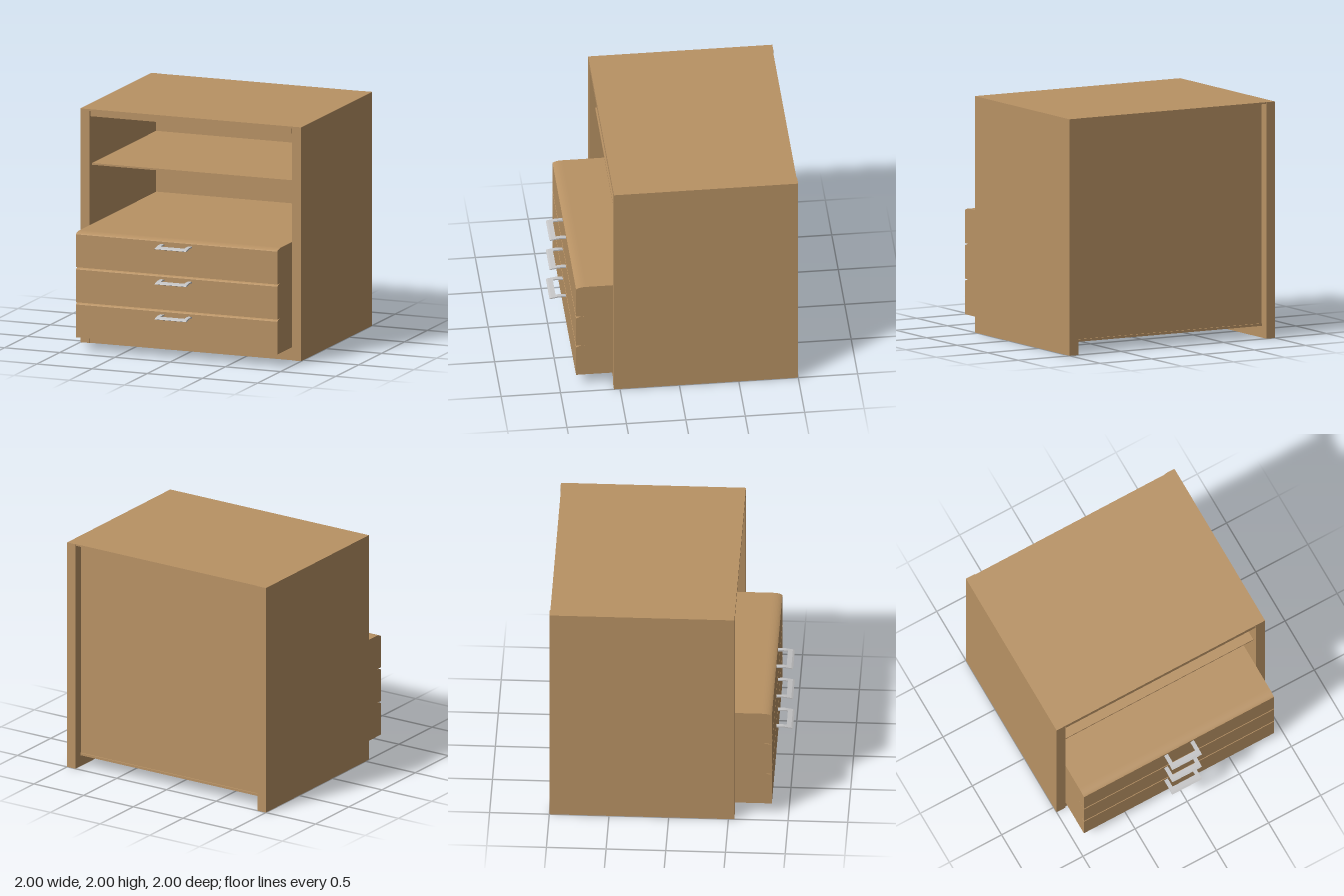
import * as THREE from 'three';

export function createModel() {
  const model = new THREE.Group();
  model.name = 'cabinet';

  const wood = new THREE.MeshStandardMaterial({ color: 0xb89264 });
  wood.name = 'wood';
  const grey = new THREE.MeshStandardMaterial({ color: 0xc4c4c5 });
  grey.name = 'light grey';

  // Box given by its lower and upper corners
  function panel(name, x0, x1, y0, y1, z0, z1, material = wood, parent = model) {
    const geometry = new THREE.BoxGeometry(x1 - x0, y1 - y0, z1 - z0);
    geometry.translate((x0 + x1) / 2, (y0 + y1) / 2, (z0 + z1) / 2);
    const mesh = new THREE.Mesh(geometry, material);
    mesh.name = name;
    parent.add(mesh);
  }

  // Side profile (z, y) extruded across x
  function profile(name, shape, x0, x1, material, parent) {
    const geometry = new THREE.ExtrudeGeometry(shape, { depth: x1 - x0, bevelEnabled: false, curveSegments: 8 });
    geometry.rotateY(-Math.PI / 2);
    geometry.translate(x1, 0, 0);
    const mesh = new THREE.Mesh(geometry, material);
    mesh.name = name;
    parent.add(mesh);
  }

  // Carcass
  panel('leftSide', 0.915, 1, 0, 2, -1, 0.55);
  panel('rightSide', -1, -0.915, 0, 2, -1, 0.55);
  panel('topPanel', -0.915, 0.915, 1.985, 2, -0.995, 0.55);
  panel('topRail', -0.91, 0.91, 1.94, 1.99, 0.47, 0.548);
  panel('plinth', -0.915, 0.915, 0, 0.108, 0.47, 0.54);
  panel('backPanel', -0.915, 0.915, 0.11, 1.985, -0.92, -0.9);
  panel('bottomPanel', -0.915, 0.915, 0.1, 0.12, -0.93, -0.48);
  panel('shelf', -0.915, 0.915, 1.515, 1.53, -0.9, 0.5);
  panel('drawerCover', -0.915, 0.915, 0.99, 1.01, -0.9, -0.48);

  // Drawer body with a rounded upper front edge
  const body = new THREE.Shape();
  body.moveTo(-0.48, 0);
  body.lineTo(0.86, 0);
  body.lineTo(0.86, 0.281);
  body.quadraticCurveTo(0.835, 0.299, 0.78, 0.3);
  body.lineTo(-0.48, 0.3);
  body.closePath();

  // Handle arm, gently arched towards the grip
  const arm = new THREE.Shape();
  arm.moveTo(0.85, 0.248);
  arm.quadraticCurveTo(0.91, 0.256, 0.95, 0.246);
  arm.lineTo(0.95, 0.257);
  arm.quadraticCurveTo(0.91, 0.267, 0.85, 0.259);
  arm.closePath();

  // Handle grip, tapering to the front
  const grip = new THREE.Shape();
  grip.moveTo(0.945, 0.247);
  grip.lineTo(0.99, 0.24);
  grip.lineTo(1, 0.244);
  grip.lineTo(0.985, 0.251);
  grip.lineTo(0.945, 0.258);
  grip.closePath();

  // Three pulled-out drawers
  for (let i = 0; i < 3; i++) {
    const drawer = new THREE.Group();
    drawer.name = 'drawer' + (i + 1);
    drawer.position.y = 0.11 + i * 0.3;
    profile('drawerBody', body, -0.912, 0.912, wood, drawer);
    for (const s of [-1, 1]) {
      profile('handleArm', arm, s * 0.125 - 0.017, s * 0.125 + 0.017, grey, drawer);
    }
    profile('handleGrip', grip, -0.142, 0.142, grey, drawer);
    if (i === 0) panel('drawerBase', -0.89, 0.89, -0.002, 0.003, -0.48, 0.82, grey, drawer);
    model.add(drawer);
  }

  return model;
}
